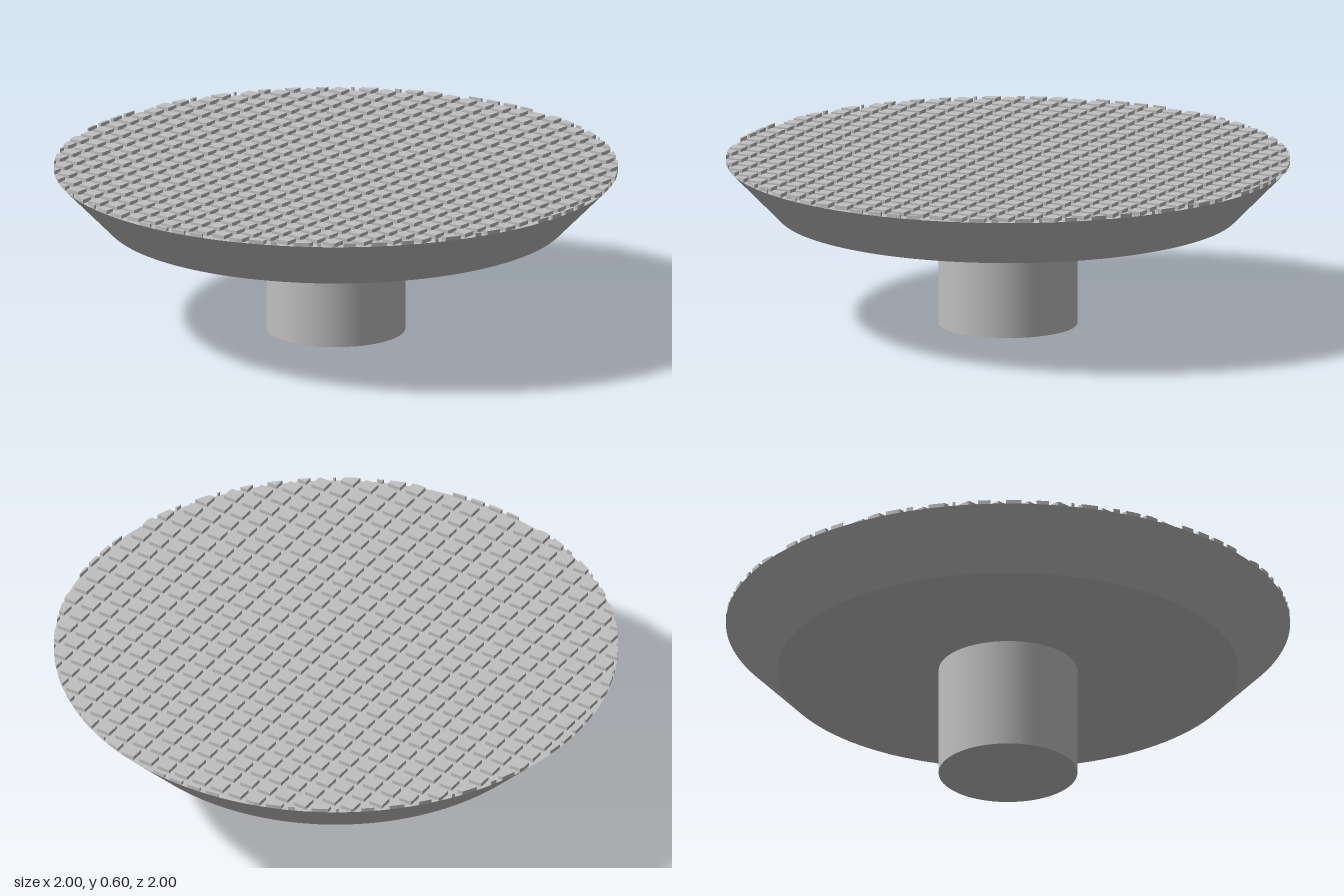
import * as THREE from 'three';
import { mergeGeometries, toCreasedNormals } from 'three/addons/utils/BufferGeometryUtils.js';

const RADIUS = 1, TOP = 0.6, GROOVE = 0.586, PITCH = 0.075, PAD = 0.051;

// Keep the part of a polygon where side * point[axis] <= limit
function clip(points, axis, side, limit) {
  const out = [];
  points.forEach((a, i) => {
    const b = points[(i + 1) % points.length];
    const da = side * a[axis] - limit, db = side * b[axis] - limit;
    if (da <= 0) out.push(a);
    if (da * db < 0) out.push(a.clone().lerp(b, da / (da - db)));
  });
  return out;
}

// One square pad, trimmed by the round rim
function padGeometry(cx, cz, disc) {
  const h = PAD / 2;
  let points = disc;
  for (const [axis, c] of [['x', cx], ['y', cz]]) {
    points = clip(points, axis, 1, c + h);
    points = clip(points, axis, -1, h - c);
  }
  if (points.length < 3 || Math.abs(THREE.ShapeUtils.area(points)) < 1e-5) return null;
  return new THREE.ExtrudeGeometry(new THREE.Shape(points), { depth: TOP - GROOVE, bevelEnabled: false })
    .rotateX(-Math.PI / 2)
    .translate(0, GROOVE, 0);
}

export function createModel() {
  const model = new THREE.Group();
  const grey = new THREE.MeshStandardMaterial({ color: 0xc0c0c0 });
  grey.name = 'grey';

  const add = (name, geometry) => {
    const mesh = new THREE.Mesh(geometry, grey);
    mesh.name = name;
    model.add(mesh);
  };

  // Stem
  add('stem', new THREE.CylinderGeometry(0.246, 0.246, 0.4, 64).translate(0, 0.2, 0));

  // Flared plate with a flat top and underside
  const profile = [[0, 0.4], [0.818, 0.4], [RADIUS, GROOVE], [0, GROOVE]]
    .map(([x, y]) => new THREE.Vector2(x, y));
  add('plate', toCreasedNormals(new THREE.LatheGeometry(profile, 128), 0.5));

  // Grid of raised square pads
  const disc = [];
  for (let i = 0; i < 128; i++) {
    const a = (i / 128) * Math.PI * 2;
    disc.push(new THREE.Vector2(Math.cos(a) * RADIUS, Math.sin(a) * RADIUS));
  }
  const pads = [];
  for (let i = -14; i < 14; i++) {
    for (let j = -14; j < 14; j++) {
      const pad = padGeometry((i + 0.5) * PITCH, (j + 0.5) * PITCH, disc);
      if (pad) pads.push(pad);
    }
  }
  add('gripPads', mergeGeometries(pads));

  return model;
}
